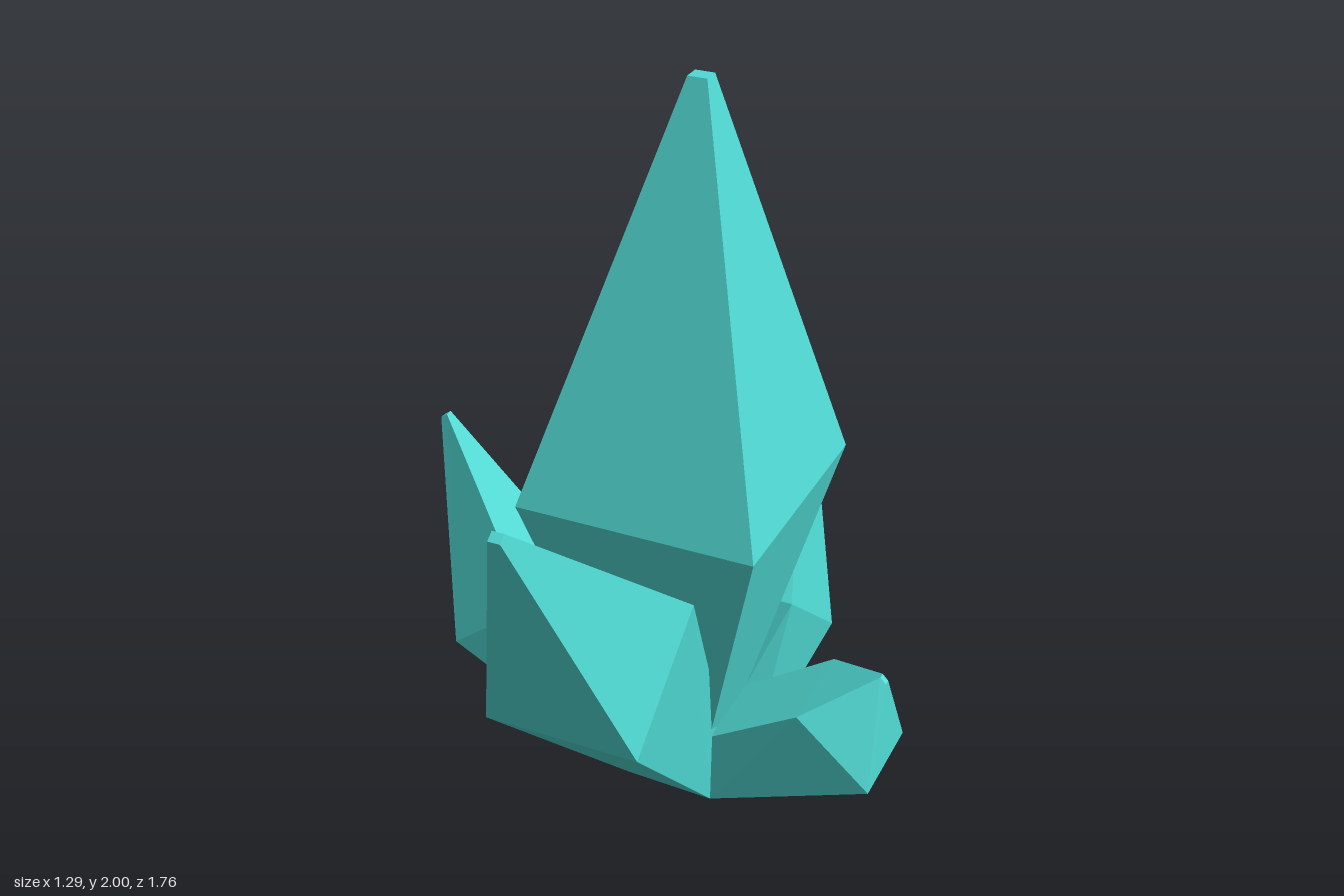
import * as THREE from 'three';

const material = new THREE.MeshStandardMaterial({ color: 0x50dad4, flatShading: true });

// Closed four-sided crystal through a list of four-corner rings
function crystal(name, rings) {
  const pos = [];
  const quad = (a, b, c, d) => pos.push(...a, ...b, ...c, ...a, ...c, ...d);
  for (let i = 0; i < rings.length - 1; i++) {
    for (let k = 0; k < 4; k++) {
      const n = (k + 1) % 4;
      quad(rings[i][k], rings[i][n], rings[i + 1][n], rings[i + 1][k]);
    }
  }
  const [s, e] = [rings[0], rings[rings.length - 1]];
  quad(s[3], s[2], s[1], s[0]);
  quad(e[0], e[1], e[2], e[3]);

  // Turn the faces outward if the rings run the other way round
  let volume = 0;
  const [a, b, c] = [0, 0, 0].map(() => new THREE.Vector3());
  for (let i = 0; i < pos.length; i += 9) {
    volume += a.fromArray(pos, i).dot(b.fromArray(pos, i + 3).cross(c.fromArray(pos, i + 6)));
  }
  if (volume < 0) {
    for (let i = 0; i < pos.length; i += 9) {
      for (let j = 0; j < 3; j++) {
        [pos[i + 3 + j], pos[i + 6 + j]] = [pos[i + 6 + j], pos[i + 3 + j]];
      }
    }
  }
  const geometry = new THREE.BufferGeometry();
  geometry.setAttribute('position', new THREE.Float32BufferAttribute(pos, 3));
  geometry.computeVertexNormals();
  const mesh = new THREE.Mesh(geometry, material);
  mesh.name = name;
  return mesh;
}

// Level rectangular ring
const level = (x0, x1, z0, z1, y) => [[x0, y, z1], [x1, y, z1], [x1, y, z0], [x0, y, z0]];

// Tilted ring: lower and upper edge as [distance, height], spanning w0 to w1 sideways
const alongZ = ([zl, yl], [zu, yu], w0, w1) =>
  [[w0, yl, zl], [w1, yl, zl], [w1, yu, zu], [w0, yu, zu]];
const alongX = ([xl, yl], [xu, yu], w0, w1) =>
  [[xl, yl, w0], [xl, yl, w1], [xu, yu, w1], [xu, yu, w0]];

export function createModel() {
  const group = new THREE.Group();
  group.name = 'crystalCluster';

  // Slightly skewed root shared by all the crystals
  const FL = [-0.05, 0.03, -0.02], FR = [0.2, 0.02, -0.02];
  const BR = [0.23, 0.005, -0.24], BL = [-0.09, 0.033, -0.29];
  const top = level(-0.06, 0.205, -0.245, 0.005, 0.25);
  const [TFL, TFR, TBR, TBL] = top;

  group.add(
    crystal('mainCrystal', [
      [FL, FR, BR, BL], top,
      level(-0.235, 0.395, -0.41, 0.22, 0.97),
      level(0.055, 0.105, -0.18, -0.135, 2),
    ]),
    crystal('frontCrystal', [
      [FL, FR, [0.2, 0.25, -0.08], [-0.05, 0.25, -0.08]],
      alongZ([0.605, 0.63], [0.29, 0.87], -0.12, 0.275),
      alongZ([0.88, 1.335], [0.86, 1.35], 0.065, 0.095),
    ]),
    crystal('backCrystal', [
      [BL, BR, TBR, TBL],
      alongZ([-0.67, 0.215], [-0.32, 0.5], -0.145, 0.3),
      alongZ([-0.88, 0.985], [-0.86, 0.997], 0.05, 0.11),
    ]),
    crystal('leftCrystal', [
      [BR, FR, TFR, TBR],
      alongX([0.645, 0.205], [0.44, 0.385], -0.285, -0.005),
      alongX([0.633, 0.465], [0.617, 0.482], -0.15, -0.132),
    ]),
    crystal('rightCrystal', [
      [BL, FL, TFL, TBL],
      alongX([-0.56, 0.325], [-0.33, 0.5], -0.29, 0),
      alongX([-0.65, 0.943], [-0.632, 0.956], -0.157, -0.137),
    ]),
  );
  return group;
}
